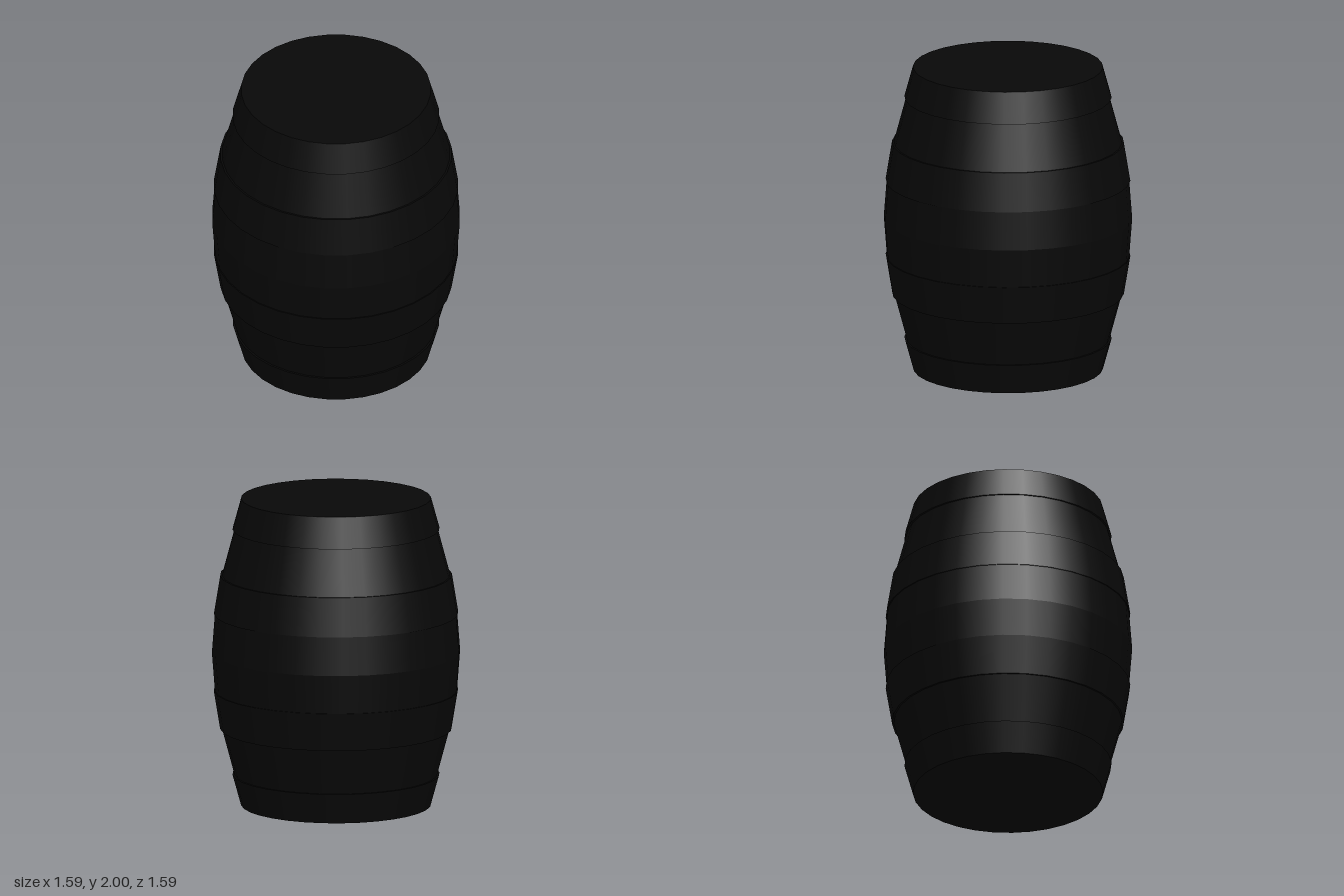
import * as THREE from 'three';

const SIDES = 32;

export function createModel() {
  const group = new THREE.Group();
  group.name = 'barrel';
  const black = new THREE.MeshStandardMaterial({ color: 0x080808 });
  black.name = 'black';

  const add = (name, geometry, y) => {
    const mesh = new THREE.Mesh(geometry, black);
    mesh.name = name;
    mesh.position.y = y;
    group.add(mesh);
  };

  // Tapered ring of staves between two heights
  const staves = (name, y0, r0, y1, r1) =>
    add(name, new THREE.CylinderGeometry(r1, r0, y1 - y0, SIDES, 1, true), (y0 + y1) / 2);

  // Hoop standing slightly proud of the staves, with flat closed ends
  const hoop = (name, y0, r0, y1, r1) =>
    add(name, new THREE.CylinderGeometry(r1, r0, y1 - y0, SIDES), (y0 + y1) / 2);

  // Lower half
  hoop('bottomEndHoop', 0, 0.608, 0.2, 0.663);
  staves('lowerStaves', 0.2, 0.65, 0.5, 0.73);
  hoop('lowerHoop', 0.5, 0.742, 0.75, 0.783);
  staves('lowerBelly', 0.75, 0.776, 1, 0.795);

  // Upper half, mirrored
  staves('upperBelly', 1, 0.795, 1.25, 0.776);
  hoop('upperHoop', 1.25, 0.783, 1.5, 0.742);
  staves('upperStaves', 1.5, 0.73, 1.8, 0.65);
  hoop('topEndHoop', 1.8, 0.663, 2, 0.608);

  return group;
}
